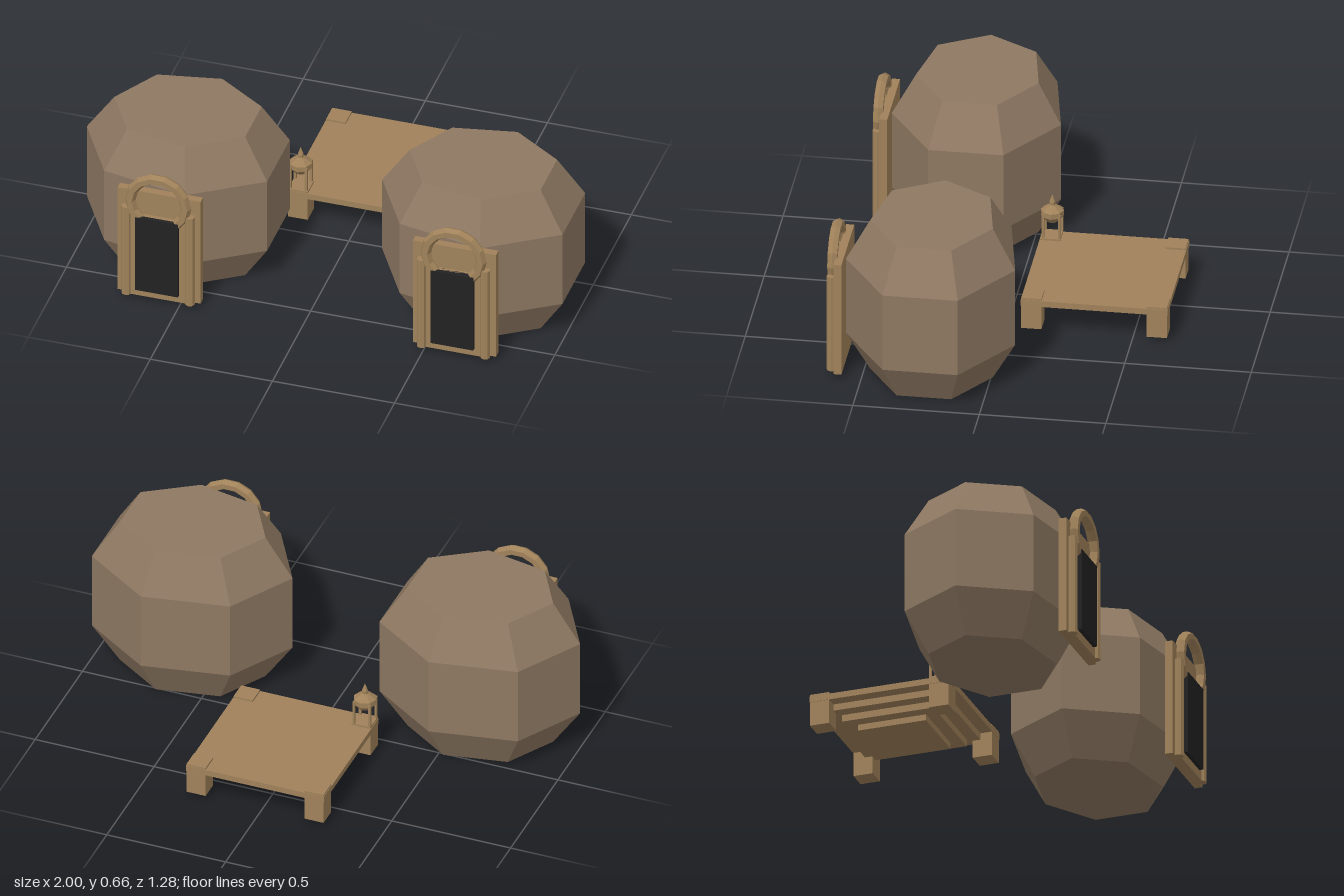
import * as THREE from 'three';

const pod = new THREE.MeshStandardMaterial({ color: 0x8e7862, flatShading: true });
pod.name = 'podBrown';
const wood = new THREE.MeshStandardMaterial({ color: 0xa0825a, flatShading: true });
wood.name = 'woodTan';
const dark = new THREE.MeshStandardMaterial({ color: 0x222222, flatShading: true });
dark.name = 'doorBlack';

function add(parent, name, geometry, material, x = 0, y = 0, z = 0) {
  const mesh = new THREE.Mesh(geometry, material);
  mesh.name = name;
  mesh.position.set(x, y, z);
  parent.add(mesh);
  return mesh;
}

// Box standing between two heights
function slab(parent, name, material, w, y0, y1, d, x, z) {
  return add(parent, name, new THREE.BoxGeometry(w, y1 - y0, d), material, x, (y0 + y1) / 2, z);
}

// Seven-sided hut with a framed, arched door
function createHut(x) {
  const hut = new THREE.Group();
  hut.name = 'hut';
  hut.position.x = x;

  const profile = [[0, 0], [0.725, 0], [1, 0.165], [1, 0.495], [0.725, 0.66], [0, 0.66]]
    .map(([r, y]) => new THREE.Vector2(r, y));
  const body = add(hut, 'hutBody', new THREE.LatheGeometry(profile, 7, -Math.PI / 2), pod, 0, 0, 0.235);
  body.scale.set(0.413, 1, 0.343);

  slab(hut, 'doorBacking', wood, 0.34, 0.02, 0.505, 0.032, 0, 0.592);
  slab(hut, 'doorFrame', wood, 0.23, 0.02, 0.4, 0.02, 0, 0.615);
  slab(hut, 'door', dark, 0.175, 0.055, 0.4, 0.032, 0, 0.626);
  for (const side of [-1, 1]) {
    add(hut, 'doorColumn', new THREE.CylinderGeometry(0.02, 0.02, 0.415, 8), wood, side * 0.13, 0.2275, 0.62);
  }
  add(hut, 'doorArch', new THREE.TorusGeometry(0.114, 0.022, 6, 14), wood, 0, 0.47, 0.62);
  return hut;
}

// Low square platform on four posts, stepped underneath
function createPlatform() {
  const platform = new THREE.Group();
  platform.name = 'platform';
  platform.position.set(0.02, 0, -0.35);
  const layers = [[0.58, 0.12, 0.145], [0.48, 0.093, 0.12], [0.38, 0.065, 0.093], [0.282, 0.04, 0.065]];
  for (const [size, y0, y1] of layers) slab(platform, 'platformLayer', wood, size, y0, y1, size, 0, 0);
  for (const sx of [-1, 1]) for (const sz of [-1, 1]) {
    slab(platform, 'platformLeg', wood, 0.08, 0.02, 0.153, 0.08, sx * 0.248, sz * 0.248);
  }
  return platform;
}

// Small faceted lantern on four thin posts
function createLantern() {
  const lantern = new THREE.Group();
  lantern.name = 'lantern';
  lantern.position.set(-0.23, 0, -0.105);
  for (const sx of [-1, 1]) for (const sz of [-1, 1]) {
    slab(lantern, 'lanternPost', wood, 0.01, 0.153, 0.255, 0.01, sx * 0.033, sz * 0.033);
  }
  const profile = [[0, 0.21], [0.022, 0.213], [0.046, 0.24], [0.046, 0.262], [0.012, 0.285], [0.012, 0.297], [0, 0.33]]
    .map(([r, y]) => new THREE.Vector2(r, y));
  add(lantern, 'lanternHead', new THREE.LatheGeometry(profile, 8), wood);
  return lantern;
}

export function createModel() {
  const model = new THREE.Group();
  model.name = 'village';
  model.add(createHut(-0.587), createHut(0.623), createPlatform(), createLantern());
  return model;
}
